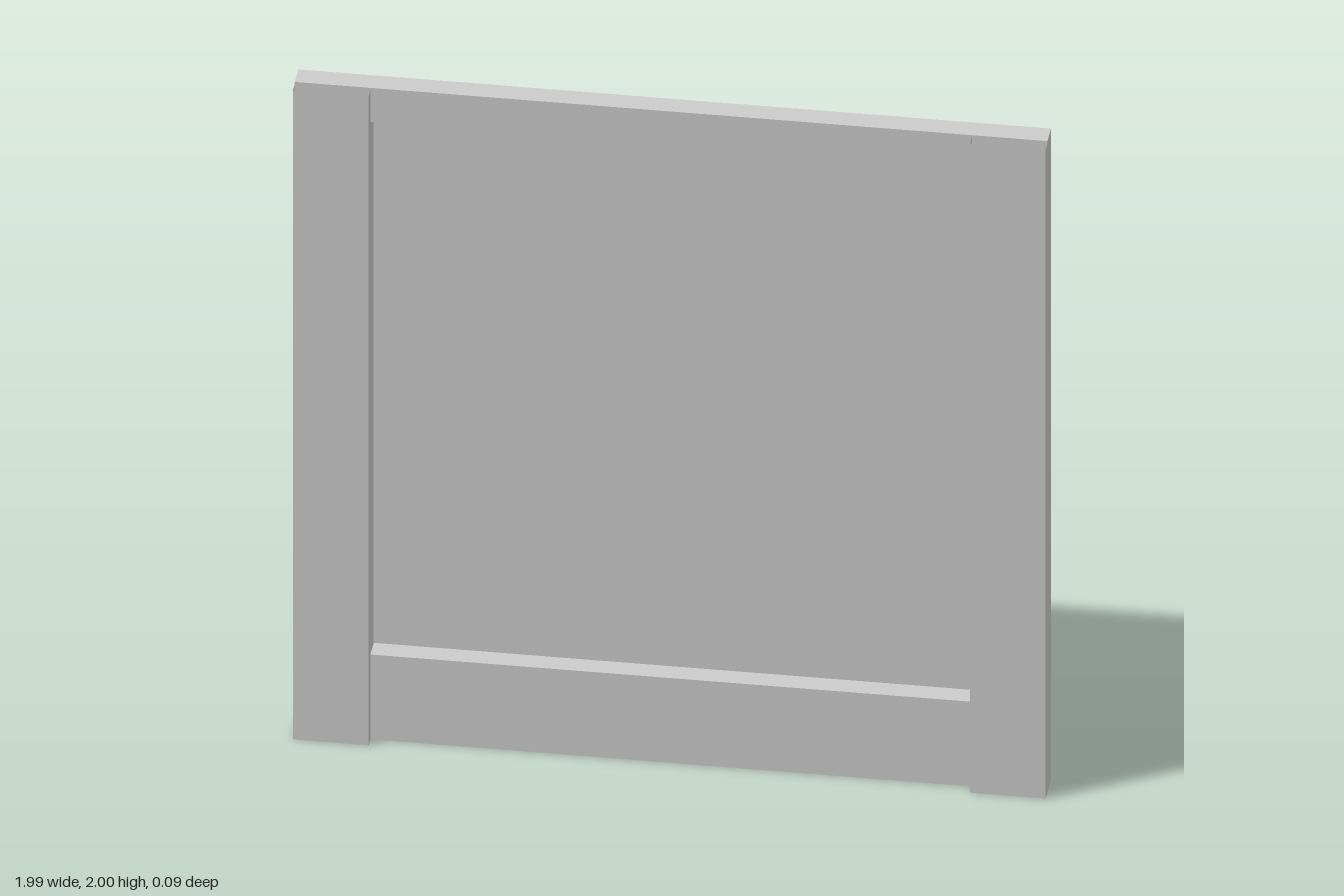
import * as THREE from 'three';

const HALF_W = 0.995, INNER = 0.795, HEIGHT = 2;
const BACK = -0.047, PANEL = -0.043, RAIL = 0.016, FRONT = 0.047;
const solid = new THREE.MeshStandardMaterial({ color: 0xcccccc, flatShading: true });
const sheet = new THREE.MeshStandardMaterial({ color: 0xcccccc, flatShading: true, side: THREE.DoubleSide });

function rect(shape, x0, y0, x1, y1) {
  shape.moveTo(x0, y0);
  shape.lineTo(x1, y0);
  shape.lineTo(x1, y1);
  shape.lineTo(x0, y1);
  shape.closePath();
  return shape;
}

function addMesh(parent, name, geometry, material) {
  const mesh = new THREE.Mesh(geometry, material);
  mesh.name = name;
  parent.add(mesh);
  return mesh;
}

// Front cover strip: front and two side walls, open at the top and bottom
function makeStile(name, side) {
  const stile = new THREE.Group();
  stile.name = name;
  const h = 1.993, depth = FRONT - RAIL;
  const face = addMesh(stile, 'stileFace', new THREE.PlaneGeometry(HALF_W - INNER, h), sheet);
  face.position.set(side * (HALF_W + INNER) / 2, h / 2, FRONT);
  for (const [x, dir, wallName] of [[HALF_W, 1, 'outerWall'], [INNER, -1, 'innerWall']]) {
    const wall = addMesh(stile, wallName, new THREE.PlaneGeometry(depth, h), sheet);
    wall.rotation.y = side * dir * Math.PI / 2;
    wall.position.set(side * x, h / 2, (FRONT + RAIL) / 2);
  }
  return stile;
}

export function createModel() {
  const group = new THREE.Group();
  group.name = 'framedPanel';

  // Surrounding frame with the window between the rails
  const outline = rect(new THREE.Shape(), -HALF_W, 0, HALF_W, HEIGHT);
  outline.holes.push(rect(new THREE.Path(), -INNER, 0.26, INNER, 1.895));
  const frame = new THREE.ExtrudeGeometry(outline, { depth: RAIL - BACK, bevelEnabled: false });
  addMesh(group, 'frame', frame, solid).position.z = BACK;

  // Thin recessed panel closing the back of the window
  const panel = new THREE.BoxGeometry(INNER * 2, 1.635, PANEL - BACK);
  addMesh(group, 'recessedPanel', panel, solid).position.set(0, 1.0775, (PANEL + BACK) / 2);

  // Raised stiles on both sides
  group.add(makeStile('leftStile', 1), makeStile('rightStile', -1));
  return group;
}
